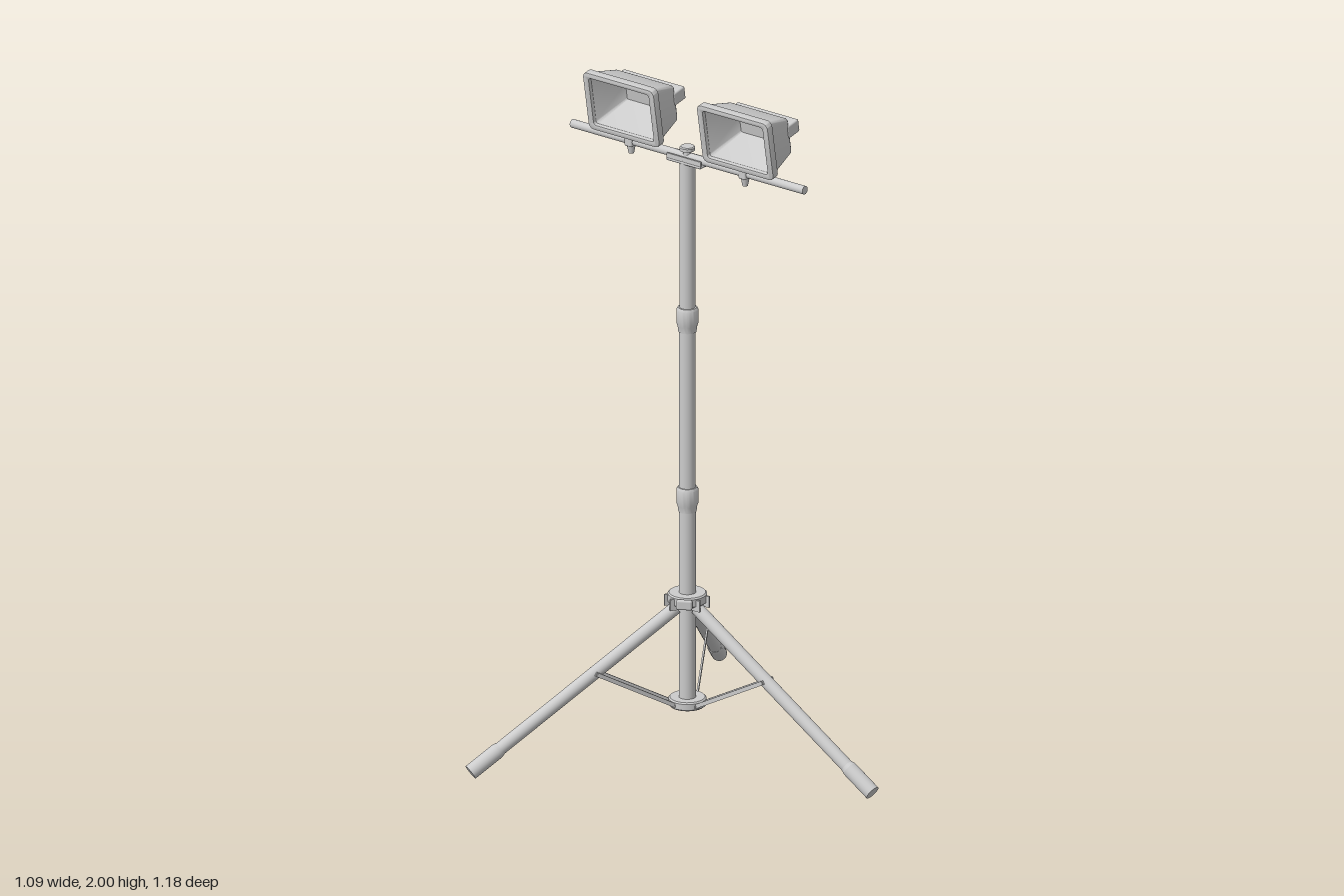
import * as THREE from 'three';
import { toCreasedNormals } from 'three/addons/utils/BufferGeometryUtils.js';
import { RoundedBoxGeometry } from 'three/addons/geometries/RoundedBoxGeometry.js';

const V = (x, y, z) => new THREE.Vector3(x, y, z);
const grey = new THREE.MeshStandardMaterial({ color: 0xcccccc });
const greyDouble = new THREE.MeshStandardMaterial({ color: 0xcccccc, side: THREE.DoubleSide });
const MAST_X = -0.133;

function add(parent, name, geometry, pos = [0, 0, 0], material = grey) {
  const m = new THREE.Mesh(geometry, material);
  m.name = name;
  m.position.set(...pos);
  parent.add(m);
  return m;
}

// Cylinder running from point a to point b
function rod(parent, name, a, b, ra, rb = ra, sides = 24) {
  const d = b.clone().sub(a);
  const m = add(parent, name, new THREE.CylinderGeometry(rb, ra, d.length(), sides));
  m.position.copy(a).addScaledVector(d, 0.5);
  m.quaternion.setFromUnitVectors(V(0, 1, 0), d.normalize());
  return m;
}

// Turned part from [radius, y] pairs, with crisp edges
function turned(parent, name, profile, pos) {
  const g = new THREE.LatheGeometry(profile.map(p => new THREE.Vector2(...p)), 32);
  return add(parent, name, toCreasedNormals(g, 0.6), pos);
}

const ringCollar = (r, h, b) => [[0, -h], [r - b, -h], [r, -h + b], [r, h - b], [r - b, h], [0, h]];

// Rounded rectangle outline, counter-clockwise
function roundRect(w, h, r, Type = THREE.Shape) {
  const s = new Type(), x = w / 2, y = h / 2;
  s.moveTo(x, -y + r);
  s.lineTo(x, y - r).absarc(x - r, y - r, r, 0, Math.PI / 2);
  s.lineTo(-x + r, y).absarc(-x + r, y - r, r, Math.PI / 2, Math.PI);
  s.lineTo(-x, -y + r).absarc(-x + r, -y + r, r, Math.PI, Math.PI * 1.5);
  s.lineTo(x - r, -y).absarc(x - r, -y + r, r, Math.PI * 1.5, Math.PI * 2);
  return s;
}

// Shell through rounded rectangles [w, h, y, z, r], front to back, last one capped
function shell(rings, inward) {
  const pos = [], idx = [], N = 16;
  for (const [w, h, y, z, r] of rings) {
    for (let i = 0; i < N; i++) {
      const q = Math.floor(i / 4), a = (q + (i % 4) / 3) * Math.PI / 2;
      const sx = q === 0 || q === 3 ? 1 : -1, sy = q < 2 ? 1 : -1;
      pos.push(sx * (w / 2 - r) + r * Math.cos(a), y + sy * (h / 2 - r) + r * Math.sin(a), z);
    }
  }
  const tri = (a, b, c) => idx.push(a, ...(inward ? [c, b] : [b, c]));
  for (let k = 0; k < rings.length - 1; k++) {
    for (let i = 0; i < N; i++) {
      const a = k * N + i, b = k * N + (i + 1) % N;
      tri(a, a + N, b);
      tri(b, a + N, b + N);
    }
  }
  const last = (rings.length - 1) * N;
  for (let i = 1; i < N - 1; i++) tri(last, last + i + 1, last + i);
  const g = new THREE.BufferGeometry();
  g.setAttribute('position', new THREE.Float32BufferAttribute(pos, 3));
  g.setIndex(idx);
  return toCreasedNormals(g, 0.6);
}

// Floodlight head; origin at the centre of its front face
function floodlight() {
  const lamp = new THREE.Group();
  lamp.name = 'floodlight';
  const rim = roundRect(0.254, 0.186, 0.018);
  rim.holes.push(roundRect(0.214, 0.152, 0.008, THREE.Path));
  const rimGeo = new THREE.ExtrudeGeometry(rim, {
    depth: 0.018, bevelThickness: 0.003, bevelSize: 0.003, bevelOffset: -0.003, bevelSegments: 2, curveSegments: 6,
  });
  add(lamp, 'frontFrame', toCreasedNormals(rimGeo, 0.6), [0, 0, -0.021]);
  add(lamp, 'housing', shell([
    [0.24, 0.172, 0, -0.018, 0.012], [0.234, 0.166, 0, -0.03, 0.012],
    [0.212, 0.116, -0.01, -0.115, 0.01], [0.202, 0.106, -0.01, -0.122, 0.008],
  ]), [0, 0, 0], greyDouble);
  add(lamp, 'reflector', shell([
    [0.216, 0.154, 0, -0.01, 0.008], [0.106, 0.052, 0, -0.095, 0.004],
  ], true), [0, 0, 0], greyDouble);
  add(lamp, 'rearRidge', new RoundedBoxGeometry(0.218, 0.04, 0.052, 2, 0.005), [0, 0.005, -0.135]);
  add(lamp, 'junctionBox', new RoundedBoxGeometry(0.105, 0.054, 0.052, 2, 0.005), [0, -0.056, -0.14]);
  return lamp;
}

// One tripod leg pointing along +x, with foot sleeve and paired braces
function tripodLeg() {
  const leg = new THREE.Group();
  leg.name = 'tripodLeg';
  const top = V(0.035, 0.428, 0), end = V(0.663, 0.02, 0);
  const at = t => top.clone().lerp(end, t);
  rod(leg, 'legTube', top, at(0.97), 0.019);
  rod(leg, 'footSleeve', at(0.855), at(0.87), 0.0195, 0.0225);
  rod(leg, 'footSleeve', at(0.87), end, 0.0225);
  const low = V(0.045, 0.138, 0), high = V(0.283, 0.268, 0);
  const d = high.clone().sub(low);
  for (const s of [-1, 1]) {
    const brace = add(leg, 'brace', new THREE.BoxGeometry(d.length() + 0.012, 0.012, 0.005));
    brace.position.copy(low).addScaledVector(d, 0.5).setZ(s * 0.0215);
    brace.rotation.z = Math.atan2(d.y, d.x);
    add(leg, 'hubLug', new THREE.BoxGeometry(0.04, 0.034, 0.006), [0.042, 0.447, s * 0.022]);
  }
  for (const p of [low, high]) {
    rod(leg, 'bracePin', V(p.x, p.y, -0.027), V(p.x, p.y, 0.027), 0.005, 0.005, 12);
  }
  return leg;
}

export function createModel() {
  const model = new THREE.Group();
  model.name = 'tripodWorkLight';

  // Telescopic mast and its collars
  const mast = new THREE.Group();
  mast.name = 'mast';
  mast.position.x = MAST_X;
  model.add(mast);
  [[0.125, 0.74, 0.0245], [0.74, 1.29, 0.0235], [1.29, 1.79, 0.0225]].forEach(([a, b, r]) =>
    rod(mast, 'mastTube', V(0, a, 0), V(0, b, 0), r, r, 32));
  for (const y of [0.755, 1.303]) {
    turned(mast, 'mastCollar',
      [[0, -0.037], [0.026, -0.037], [0.028, -0.02], [0.031, -0.012], [0.031, 0.03], [0.027, 0.037], [0, 0.037]],
      [0, y, 0]);
  }
  add(mast, 'rearStrip', new THREE.BoxGeometry(0.012, 0.21, 0.006), [0, 1.675, -0.0235]);
  turned(mast, 'upperHub', ringCollar(0.056, 0.015, 0.004), [0, 0.456, 0]);
  turned(mast, 'lowerHub', ringCollar(0.054, 0.013, 0.004), [0, 0.139, 0]);

  // Wing screw on the hub
  const screw = new THREE.Group();
  screw.name = 'wingScrew';
  screw.position.y = 0.456;
  screw.rotation.y = -Math.PI / 3;
  mast.add(screw);
  rod(screw, 'screwShaft', V(0.04, 0, 0), V(0.07, 0, 0), 0.008, 0.008, 16);
  add(screw, 'screwWing', new RoundedBoxGeometry(0.014, 0.03, 0.046, 3, 0.006), [0.065, 0, 0]);

  // Three legs around the mast
  for (let i = 0; i < 3; i++) {
    const leg = tripodLeg();
    leg.rotation.y = i * Math.PI * 2 / 3;
    mast.add(leg);
  }

  // Crossbar with its mount at the mast head
  rod(model, 'crossbar', V(-0.545, 1.798, 0), V(0.288, 1.798, 0), 0.0125);
  add(mast, 'mountPlate', new RoundedBoxGeometry(0.122, 0.008, 0.046, 2, 0.003), [0.003, 1.784, 0]);
  for (const s of [-1, 1]) {
    add(mast, 'mountCheek', new THREE.BoxGeometry(0.122, 0.018, 0.005), [0.003, 1.793, s * 0.019]);
  }
  turned(mast, 'mountBolt', [[0, -0.03], [0.012, -0.03], [0.012, 0.004], [0.022, 0.006],
    [0.022, 0.015], [0.019, 0.018], [0, 0.018]], [0, 1.812, 0]);

  // Two floodlights, each clamped to the crossbar
  for (const x of [-0.33, 0.078]) {
    const lamp = floodlight();
    lamp.position.set(x, 1.907, 0.053);
    lamp.rotation.x = 0.17;
    model.add(lamp);
    const clamp = new THREE.Group();
    clamp.name = 'lampClamp';
    clamp.position.set(x - 0.004, 1.798, 0);
    model.add(clamp);
    add(clamp, 'clampBlock', new RoundedBoxGeometry(0.026, 0.03, 0.034, 2, 0.005));
    rod(clamp, 'clampStem', V(0, 0.01, 0), V(0, 0.05, 0), 0.011, 0.011, 16);
    rod(clamp, 'clampKnob', V(0, -0.038, 0), V(0, -0.012, 0), 0.008, 0.013, 16);
  }
  return model;
}
